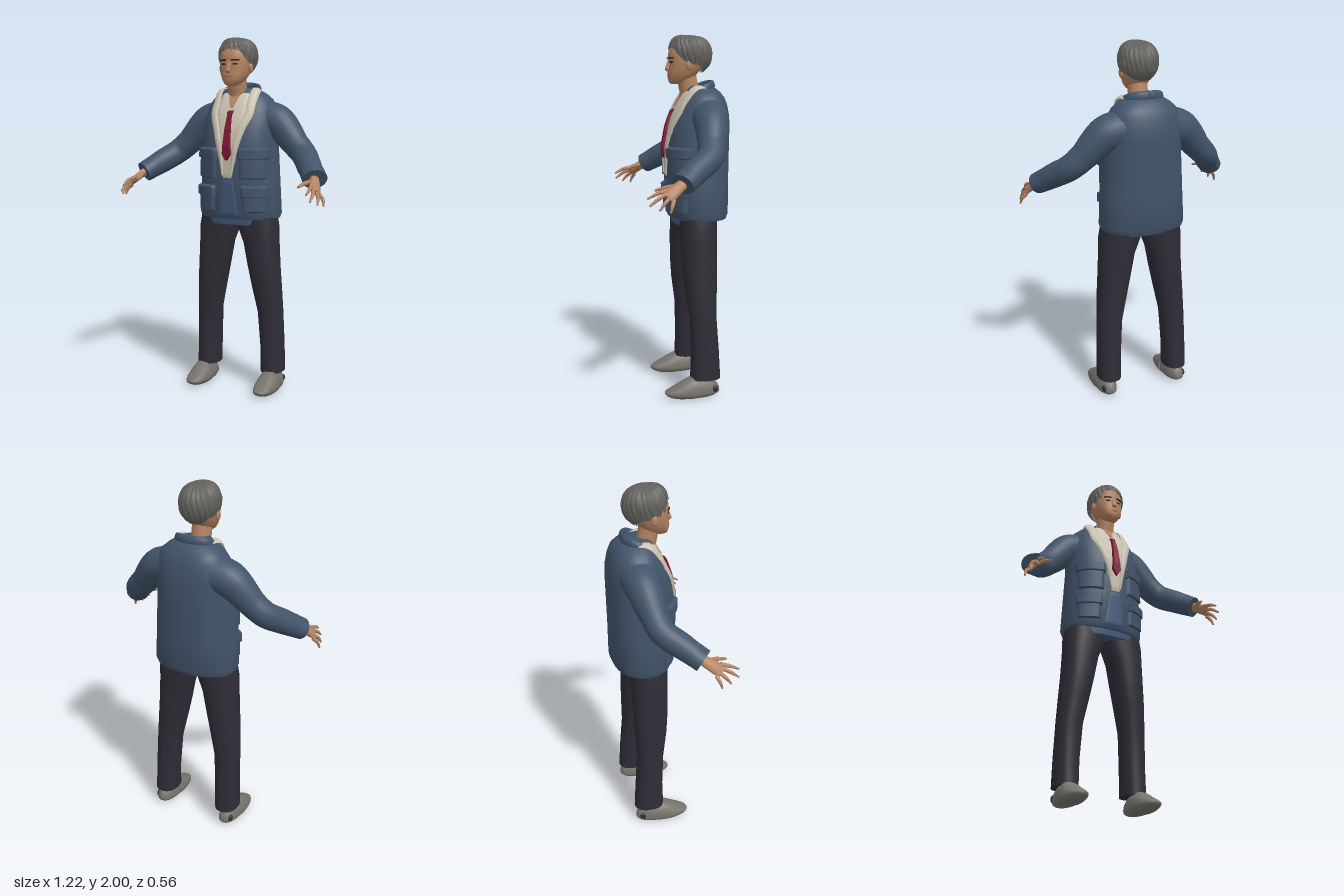
import * as THREE from 'three';
import { mergeVertices, toCreasedNormals } from 'three/addons/utils/BufferGeometryUtils.js';

const mat = (name, color) => new THREE.MeshStandardMaterial({ name, color, side: THREE.DoubleSide });
const V = (x, y, z) => new THREE.Vector3(x, y, z);

// Linear lookup in rows sorted by their first entry
function look(rows, t) {
  let i = 0;
  while (i < rows.length - 2 && t > rows[i + 1][0]) i++;
  const a = rows[i], b = rows[i + 1];
  const k = Math.min(1, Math.max(0, (t - a[0]) / (b[0] - a[0])));
  return a.map((n, j) => n + (b[j] - n) * k);
}

// Surface from a rule point(i, j)
function grid(nu, nv, point) {
  const pos = [], idx = [];
  for (let j = 0; j <= nv; j++) for (let i = 0; i <= nu; i++) pos.push(...point(i, j).toArray());
  for (let j = 0; j < nv; j++) for (let i = 0; i < nu; i++) {
    const a = j * (nu + 1) + i, b = a + 1, c = a + nu + 1, d = c + 1;
    idx.push(a, b, d, a, d, c);
  }
  const g = new THREE.BufferGeometry();
  g.setAttribute('position', new THREE.Float32BufferAttribute(pos, 3));
  g.setIndex(idx);
  return toCreasedNormals(mergeVertices(g, 1e-5), 1.0);
}

// Body section rows: [y, centre x, half width, front z, back z]
const POW = 2.3;
function ringPoint([y, cx, w, zf, zb], a, off = 0) {
  const f = n => Math.sign(n) * Math.abs(n) ** (2 / POW);
  return V(cx + (w + off) * f(Math.sin(a)), y, (zf + zb) / 2 + ((zf - zb) / 2 + off) * f(Math.cos(a)));
}
function loft(rows, n = 40) {
  return grid(n, rows.length + 1, (i, j) => {
    const r = rows[Math.min(rows.length - 1, Math.max(0, j - 1))];
    if (j === 0 || j > rows.length) return V(r[1], r[0], (r[3] + r[4]) / 2);
    return ringPoint(r, ((i % n) / n) * Math.PI * 2 - Math.PI);
  });
}
// Point on the front of a lofted body at a given x and y
function surf(rows, x, y, off = 0) {
  const r = look(rows, y), s = Math.min(1, Math.abs(x) / r[2]);
  return ringPoint(r, Math.sign(x) * Math.asin(s ** (POW / 2)), off);
}
// Thin panel following a lofted body, edges tucked in
function panel(rows, y0, y1, left, right, off, nu = 12, nv = 16) {
  return grid(nu, nv, (i, j) => {
    const y = y0 + (y1 - y0) * j / nv, l = left(y), x = l + (right(y) - l) * i / nu;
    const edge = i === 0 || j === 0 || i === nu || j === nv;
    return surf(rows, x, y, edge ? -0.002 : off);
  });
}

// Tapered tube through [x, y, z, half width, half height], its flat side facing up(p)
function sweep(pts, up, n = 12, steps = 16) {
  const curve = new THREE.CatmullRomCurve3(pts.map(p => V(p[0], p[1], p[2])));
  const sizes = pts.map((p, i) => [i / (pts.length - 1), p[3], p[4] ?? p[3]]);
  return grid(n, steps + 2, (i, j) => {
    const t = Math.min(1, Math.max(0, (j - 1) / steps)), p = curve.getPoint(t);
    if (j === 0 || j === steps + 2) return p;
    const T = curve.getTangent(t), side = up(p).cross(T).normalize(), u = T.clone().cross(side);
    const [, w, h] = look(sizes, t), a = ((i % n) / n) * Math.PI * 2;
    return p.addScaledVector(side, w * Math.cos(a)).addScaledVector(u, h * Math.sin(a));
  });
}

const JACKET = [
  [0.995, 0, 0.232, 0.055, -0.258], [1.02, 0, 0.24, 0.066, -0.268], [1.2, 0, 0.23, 0.075, -0.27],
  [1.4, 0, 0.217, 0.08, -0.275], [1.5, 0, 0.214, 0.062, -0.277], [1.56, 0, 0.21, 0.042, -0.274],
  [1.62, 0, 0.196, 0.015, -0.262], [1.66, 0, 0.175, -0.008, -0.247], [1.69, 0, 0.14, -0.025, -0.225],
  [1.71, 0, 0.105, -0.035, -0.2], [1.725, 0, 0.07, -0.045, -0.165]];
const TAIL = [[0.96, 0, 0.215, 0.035, -0.19], [1.0, 0, 0.225, 0.04, -0.21], [1.06, 0, 0.22, 0.045, -0.22]];
const LEG = [
  [0.1, 0.206, 0.065, -0.02, -0.19], [0.25, 0.203, 0.066, -0.025, -0.182], [0.45, 0.194, 0.071, -0.018, -0.168],
  [0.6, 0.174, 0.082, 0.005, -0.174], [0.72, 0.157, 0.09, 0.016, -0.178], [0.85, 0.141, 0.1, 0.02, -0.18],
  [0.94, 0.122, 0.118, 0.022, -0.184], [1.01, 0.112, 0.115, 0.022, -0.186]];
const HEAD = [
  [1.733, 0, 0.022, 0.045, 0], [1.742, 0, 0.04, 0.056, -0.03], [1.765, 0, 0.06, 0.062, -0.08],
  [1.8, 0, 0.077, 0.062, -0.11], [1.84, 0, 0.086, 0.056, -0.135], [1.875, 0, 0.088, 0.061, -0.15],
  [1.92, 0, 0.085, 0.054, -0.15], [1.96, 0, 0.065, 0.025, -0.125]];

// Hair follows a rounded cap whose lower edge depends on direction (degrees)
const HAIRLINE = [[0, 62], [35, 72], [60, 100], [80, 116], [110, 118], [140, 138], [180, 146]];
const hairCentre = V(0.003, 1.885, -0.055);
function hairPoint(a, th, r = 1) {
  const s = Math.sin(th) ** 0.8 * r;
  return V(0.1 * s * Math.sin(a), 0.108 * Math.cos(th) * r, 0.121 * s * Math.cos(a)).add(hairCentre);
}
const hairEnd = a => {
  const d = Math.abs(THREE.MathUtils.radToDeg(Math.atan2(Math.sin(a), Math.cos(a))));
  return THREE.MathUtils.degToRad(look(HAIRLINE, d)[1]);
};

export function createModel() {
  const root = new THREE.Group();
  root.name = 'standingMan';
  const M = {
    jacket: mat('jacketBlue', 0x42546a), shirt: mat('innerBlue', 0x43587a), cream: mat('cream', 0xcbc3b1),
    tie: mat('crimson', 0x7d1834), trousers: mat('charcoal', 0x2e2d36), shoe: mat('shoeGrey', 0x76736c),
    skin: mat('skin', 0xb58361), hair: mat('hairGrey', 0x64635f), dark: mat('darkBrown', 0x2a2422),
    lip: mat('lip', 0x85503f) };
  const add = (parent, name, geo, m) => {
    const mesh = new THREE.Mesh(geo, m);
    mesh.name = name;
    parent.add(mesh);
    return mesh;
  };
  const ball = (parent, name, m, p, s) => {
    const b = add(parent, name, new THREE.SphereGeometry(1, 20, 14), m);
    b.position.set(...p);
    b.scale.set(...s);
  };

  // Torso, shirt and tie
  add(root, 'jacketBody', loft(JACKET, 56), M.jacket);
  add(root, 'shirtTail', loft(TAIL), M.shirt);
  const shirtW = y => look([[1.22, 0.028], [1.4, 0.05], [1.52, 0.075], [1.6, 0.095], [1.7, 0.085]], y)[1];
  add(root, 'shirtFront', panel(JACKET, 1.22, 1.7, y => -shirtW(y), shirtW, 0.005, 12, 26), M.cream);
  const insetW = y => look([[1, 0.07], [1.22, 0.032]], y)[1];
  add(root, 'lowerShirt', panel(JACKET, 1.0, 1.22, y => -insetW(y), insetW, 0.003), M.shirt);
  const throatW = y => look([[1.6, 0.004], [1.71, 0.045]], y)[1];
  add(root, 'throat', panel(JACKET, 1.61, 1.71, y => -throatW(y), throatW, 0.009), M.skin);
  const tieW = y => look([[1.32, 0.002], [1.36, 0.031], [1.56, 0.015], [1.575, 0.014], [1.6, 0.022]], y)[1];
  add(root, 'tie', panel(JACKET, 1.32, 1.6, y => -tieW(y), tieW, 0.02, 6, 28), M.tie);

  // Neck and head
  add(root, 'neck', sweep([[0, 1.64, -0.075, 0.06], [0, 1.71, -0.055, 0.054], [0, 1.79, -0.04, 0.054]],
    () => V(0, 0, 1), 20), M.skin);
  const head = new THREE.Group();
  head.name = 'head';
  root.add(head);
  add(head, 'skull', loft(HEAD), M.skin);
  add(head, 'nose', sweep([[0, 1.866, 0.053, 0.008], [0, 1.835, 0.061, 0.01], [0, 1.813, 0.064, 0.015],
    [0, 1.804, 0.06, 0.009]], () => V(0, 0, 1)), M.skin);
  add(head, 'mouth', panel(HEAD, 1.778, 1.785, () => -0.026, () => 0.026, 0.002, 8, 4), M.lip);

  // Hair cap and overlapping locks
  const hair = new THREE.Group();
  hair.name = 'hair';
  head.add(hair);
  add(hair, 'hairCap', grid(40, 14, (i, j) => {
    const a = ((i % 40) / 40) * Math.PI * 2;
    return hairPoint(a, hairEnd(a) * j / 14, 0.99);
  }).scale(1, 1, 1), M.hair);
  let seed = 7;
  const rnd = () => (seed = (seed * 16807) % 2147483647) / 2147483647;
  for (let layer = 0; layer < 2; layer++) for (let k = 0; k < 24; k++) {
    const a0 = (k + layer / 2 + rnd() * 0.4) / 24 * Math.PI * 2, pts = [];
    const end = hairEnd(a0) * (layer ? 0.78 : 1) + (rnd() - 0.3) * 0.16;
    for (let s = 0; s <= 4; s++) {
      const t = s / 4, p = hairPoint(a0 + 0.3 * (t - 0.6), 0.12 + (end - 0.12) * t, 1 + 0.03 * layer * Math.sin(t * 3));
      const w = [0.005, 0.013, 0.017, 0.015, 0.003][s];
      pts.push([p.x, p.y, p.z, w, w * 0.6]);
    }
    add(hair, 'hairLock', sweep(pts, p => p.clone().sub(hairCentre).normalize(), 6, 10), M.hair);
  }

  // Everything that comes in pairs
  for (const s of [1, -1]) {
    const half = new THREE.Group();
    half.name = s > 0 ? 'leftSide' : 'rightSide';
    half.scale.x = s;
    root.add(half);

    // Face details
    add(half, 'eye', panel(HEAD, 1.845, 1.856, () => 0.02, () => 0.05, 0.003, 6, 4), M.dark);
    add(half, 'eyebrow', panel(HEAD, 1.867, 1.877, () => 0.014, () => 0.06, 0.005, 8, 4), M.dark);
    ball(half, 'ear', M.skin, [0.09, 1.833, -0.035], [0.011, 0.029, 0.018]);

    // Lapel lying over the shoulder and down the chest
    const front = [[0.105, 1.64, 0.026], [0.105, 1.58, 0.024], [0.076, 1.5, 0.022], [0.05, 1.4, 0.018],
      [0.036, 1.32, 0.012], [0.026, 1.24, 0.004]].map(([x, y, w]) => [...surf(JACKET, x, y, 0.003).toArray(), w, 0.009]);
    add(half, 'lapel', sweep([[0.098, 1.712, -0.13, 0.012, 0.008], [0.11, 1.71, -0.07, 0.026, 0.009], ...front], p => {
      const k = THREE.MathUtils.smoothstep(p.y, 1.6, 1.71);
      return V(0.3, 0.2, 1).lerp(V(0.4, 1, 0.15), k).normalize();
    }, 10, 30), M.cream);
    // Ragged lapel tufts
    for (let k = 0; k < 6; k++) {
      const y = 1.58 - k * 0.05, x = look([[1.3, 0.042], [1.4, 0.062], [1.5, 0.094], [1.58, 0.124]], y)[1];
      add(half, 'lapelTuft', panel(JACKET, y - 0.014, y + 0.014, () => x - 0.03, () => x + 0.006, 0.006, 4, 4), M.cream);
    }
    add(half, 'jacketCollar', sweep([[0.108, 1.7, -0.09, 0.016, 0.01], [0.09, 1.718, -0.15, 0.025, 0.012],
      [0.045, 1.728, -0.18, 0.025, 0.012], [0, 1.73, -0.187, 0.025, 0.012]],
      p => V(p.x, 0.02, p.z + 0.07).normalize()), M.jacket);

    // Patch pockets with flaps
    for (const [y0, y1, x0] of [[1.22, 1.36, 0.07], [1.035, 1.15, 0.085]]) {
      add(half, 'pocket', panel(JACKET, y0, y1, () => x0, () => 0.205, 0.012), M.jacket);
      add(half, 'pocketFlap', panel(JACKET, y1 - 0.035, y1 + 0.035, () => x0 - 0.008, () => 0.21, 0.021, 12, 6), M.jacket);
    }

    // Sleeve and cuff
    const Y = () => V(0, 1, 0);
    add(half, 'sleeve', sweep([[0.13, 1.555, -0.135, 0.105], [0.22, 1.53, -0.127, 0.097], [0.335, 1.415, -0.1, 0.074],
      [0.395, 1.36, -0.075, 0.07], [0.46, 1.302, 0.01, 0.067], [0.525, 1.245, 0.095, 0.058]], Y, 24, 32), M.jacket);
    add(half, 'cuff', sweep([[0.495, 1.272, 0.056, 0.066, 0.062], [0.527, 1.243, 0.1, 0.068, 0.058]], Y, 24, 4), M.jacket);

    // Hand
    const handUp = () => V(0.79, 0.61, 0.09);
    add(half, 'palm', sweep([[0.52, 1.25, 0.09, 0.028, 0.022], [0.54, 1.225, 0.13, 0.032, 0.019],
      [0.558, 1.195, 0.175, 0.037, 0.014], [0.563, 1.187, 0.187, 0.033, 0.01]], handUp), M.skin);
    for (const [a, b] of [[[0.54, 1.218, 0.185], [0.55, 1.18, 0.283]], [[0.553, 1.202, 0.187], [0.57, 1.145, 0.277]],
      [[0.566, 1.183, 0.175], [0.592, 1.125, 0.23]], [[0.575, 1.172, 0.155], [0.607, 1.115, 0.178]]]) {
      const mid = a.map((n, i) => (n + b[i]) / 2 + [0.006, 0.006, 0][i]);
      add(half, 'finger', sweep([[...a, 0.011], [...mid, 0.01], [...b, 0.005]], handUp, 8, 8), M.skin);
    }
    add(half, 'thumb', sweep([[0.525, 1.235, 0.125, 0.014], [0.503, 1.228, 0.175, 0.012], [0.486, 1.212, 0.235, 0.006]],
      handUp, 8, 8), M.skin);

    // Leg
    add(half, 'trouserLeg', loft(LEG, 32), M.trousers);

    // Shoe: rounded, flat underneath, lower towards the toe
    const shoe = new THREE.SphereGeometry(1, 28, 20), p = shoe.attributes.position;
    for (let i = 0; i < p.count; i++) {
      const x = p.getX(i), y = p.getY(i), z = p.getZ(i);
      const top = look([[-1, 0.12], [0, 0.115], [0.45, 0.08], [1, 0.05]], z)[1];
      p.setXYZ(i, 0.215 + Math.sign(x) * Math.abs(x) ** 0.85 * (z < 0 ? 0.058 : 0.064),
        Math.max(0, 0.03 + y * (y > 0 ? top - 0.03 : 0.04)), -0.028 + Math.sign(z) * Math.abs(z) ** 0.85 * 0.157);
    }
    shoe.computeVertexNormals();
    add(half, 'shoe', shoe, M.shoe);
    ball(half, 'heelPatch', M.trousers, [0.25, 0.045, -0.148], [0.012, 0.02, 0.02]);
  }
  return root;
}
